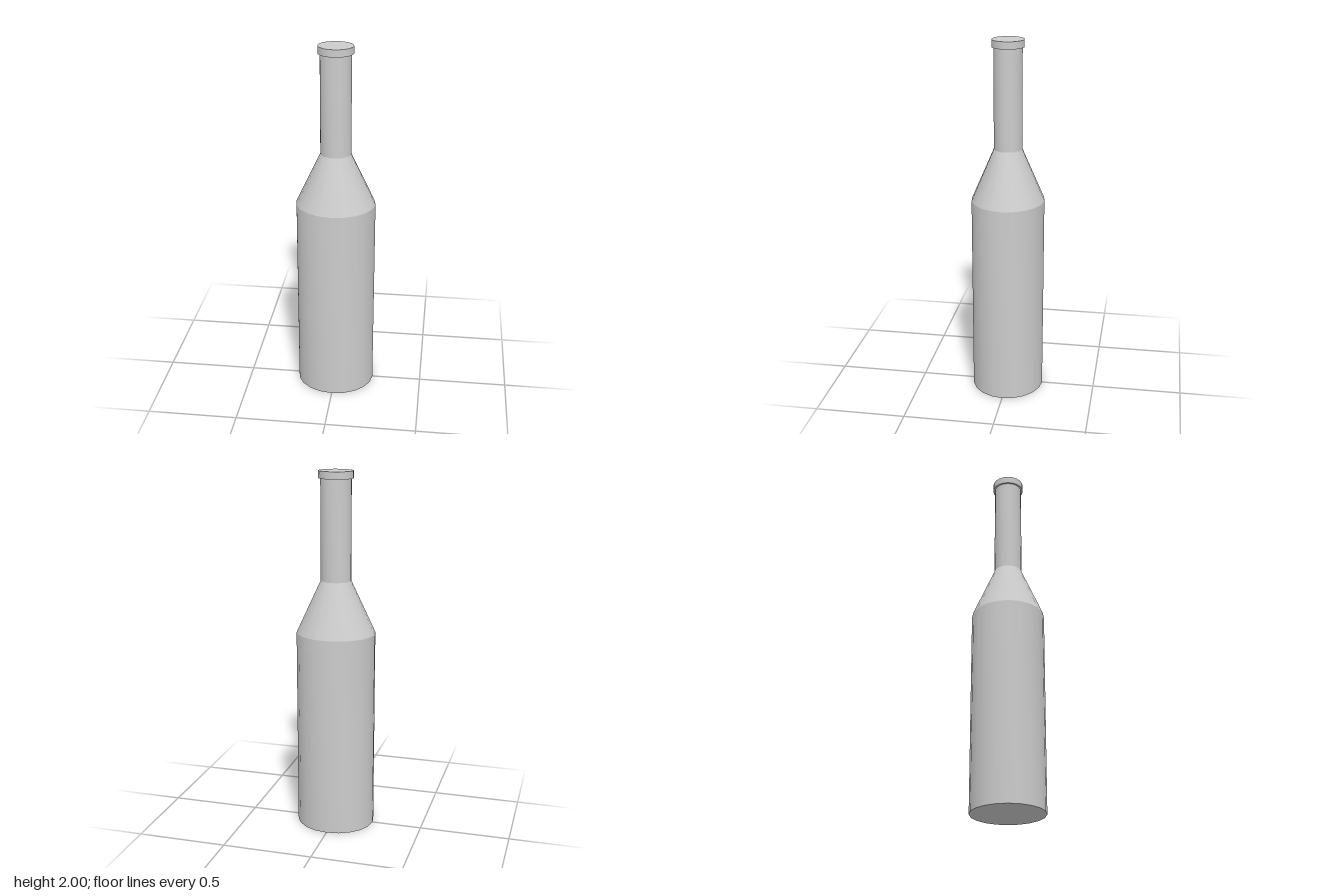
import * as THREE from 'three';
import { toCreasedNormals } from 'three/addons/utils/BufferGeometryUtils.js';

const SIDES = 20;
const DEPTH = 0.92; // the bottle is slightly oval

export function createModel() {
  const bottle = new THREE.Group();
  bottle.name = 'bottle';
  const material = new THREE.MeshStandardMaterial({ color: 0xcccccc });

  // Turns a profile of [radius, height] points, smooth around and sharp at the bends
  const turn = (name, profile) => {
    const points = profile.map(([r, y]) => new THREE.Vector2(r, y));
    const geometry = new THREE.LatheGeometry(points, SIDES).scale(1, 1, DEPTH);
    const mesh = new THREE.Mesh(toCreasedNormals(geometry, 0.38), material);
    mesh.name = name;
    bottle.add(mesh);
  };

  // Base, straight body, sloped shoulder and neck
  turn('body', [[0, 0], [0.219, 0], [0.219, 1.12], [0.084, 1.41], [0.084, 1.96]]);

  // Closed lip on top of the neck
  turn('lip', [[0, 1.96], [0.095, 1.96], [0.095, 2], [0, 2]]);

  return bottle;
}
